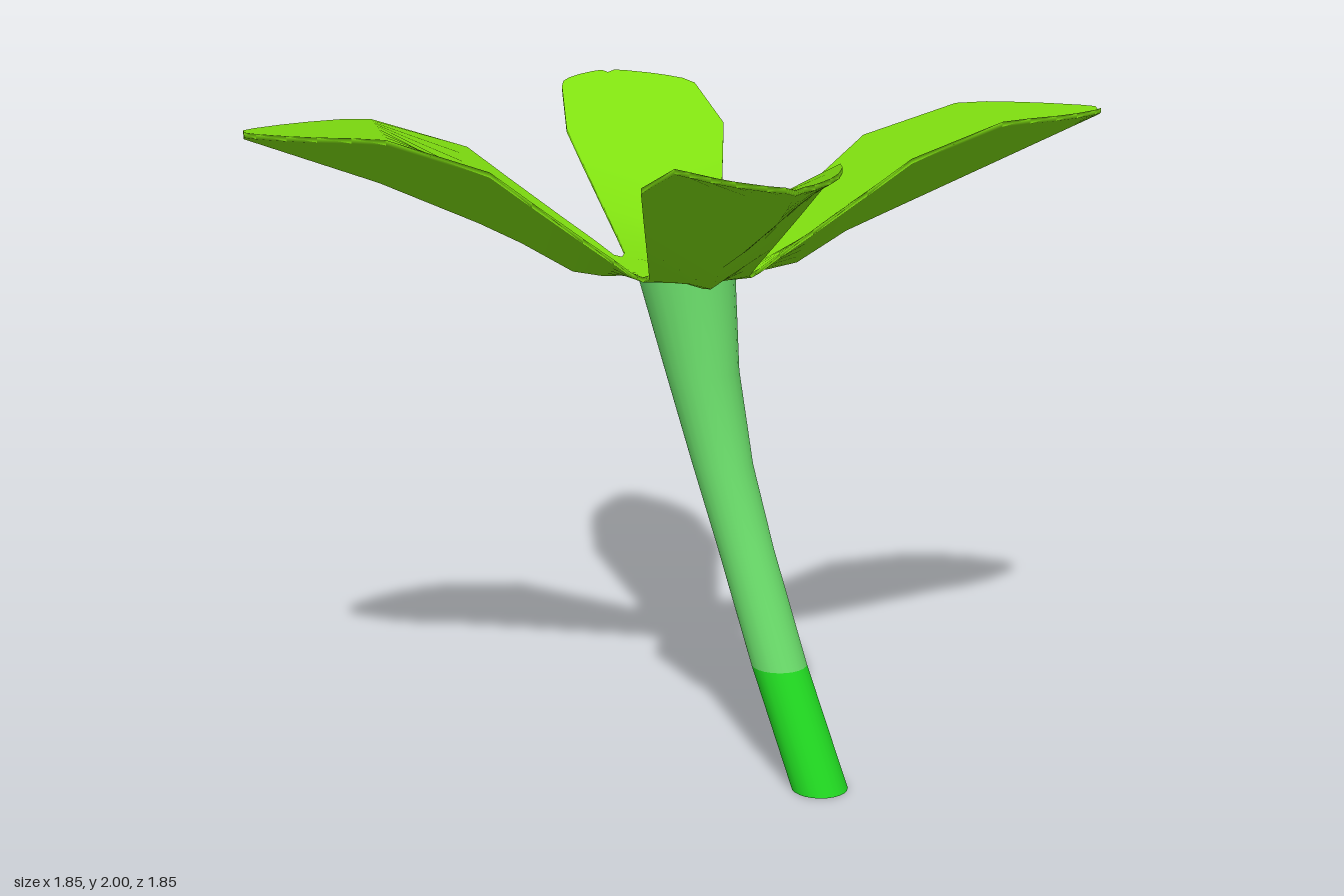
import * as THREE from 'three';

const leafGreen = new THREE.MeshStandardMaterial({ color: 0x80e010 });
leafGreen.name = 'leafGreen';
const paleGreen = new THREE.MeshStandardMaterial({ color: 0x6ce06c });
paleGreen.name = 'paleGreen';
const brightGreen = new THREE.MeshStandardMaterial({ color: 0x22dd22 });
brightGreen.name = 'brightGreen';

// Petal edge from the flower centre to the tip: x, z, height
const EDGE = [
  [0, 0, 1.56], [0, 0.23, 1.565], [0.03, 0.24, 1.575], [0.06, 0.29, 1.62],
  [0.11, 0.373, 1.69], [0.19, 0.507, 1.805], [0.255, 0.615, 1.9],
  [0.48, 0.793, 1.995], [0.56, 0.845, 2], [0.65, 0.886, 2], [0.74, 0.912, 2],
  [0.84, 0.926, 2], [0.89, 0.922, 2],
];

// Height of the underside along the petal's fold
function keelHeight(s) {
  if (s < 0.22) return 1.54;
  if (s < 0.35) return 1.54 + (s - 0.22) / 0.13 * 0.11;
  return 1.65 + (s - 0.35) / 0.57 * 0.335;
}

// Upper skin along the fold: half-filled cup, or a ramp with a level tip
const cupTop = (s, keel, edge) => Math.max(keel + 0.015, (keel + edge) / 2);
const rampTop = (s) => THREE.MathUtils.clamp(1.56 + (s - 0.14) * 0.89, 1.56, 2);

// One petal: upper and lower skins joined by a thin rim.
// shift moves the middle of the fold sideways.
function petalGeometry(top, shift) {
  const half = 4, cols = half * 2 + 1, rows = EDGE.length;
  const pos = [], nor = [], idx = [];
  for (const skin of [1, -1]) {
    for (const [ex, ez, ey] of EDGE) {
      const s = (ex + ez) / 2, d = (ez - ex) / 2;
      const hump = s < 0.55 ? (s - 0.35) / 0.2 : (0.92 - s) / 0.37;
      const o = shift * Math.max(0, hump);
      const keel = keelHeight(s + Math.abs(o));
      const mid = skin > 0 ? top(s, keel, ey) : keel;
      const rim = skin > 0 ? ey : ey - 0.015;
      const tilt = 0.32 * THREE.MathUtils.smoothstep(s, 0.1, 0.35);
      const n = new THREE.Vector3(-tilt, 1, -tilt).normalize().multiplyScalar(skin);
      for (let j = 0; j < cols; j++) {
        const v = (j - half) / half, a = Math.abs(v);
        const side = v * d - o * (1 - a);
        pos.push(s - side, mid + (rim - mid) * a, s + side);
        nor.push(n.x, n.y, n.z);
      }
    }
  }
  const T = (i, j) => i * cols + j;
  const B = (i, j) => rows * cols + i * cols + j;
  const quad = (a, b, c, d) => idx.push(a, b, c, b, d, c);
  for (let i = 0; i < rows - 1; i++) {
    for (let j = 0; j < cols - 1; j++) {
      quad(T(i, j), T(i, j + 1), T(i + 1, j), T(i + 1, j + 1));
      quad(B(i, j), B(i + 1, j), B(i, j + 1), B(i + 1, j + 1));
    }
    if (i > 0) {
      const e = cols - 1;
      quad(T(i, e), B(i, e), T(i + 1, e), B(i + 1, e));
      quad(T(i, 0), T(i + 1, 0), B(i, 0), B(i + 1, 0));
    }
  }
  const k = rows - 1;
  for (let j = 0; j < cols - 1; j++) quad(T(k, j), T(k, j + 1), B(k, j), B(k, j + 1));
  const g = new THREE.BufferGeometry();
  g.setAttribute('position', new THREE.Float32BufferAttribute(pos, 3));
  g.setAttribute('normal', new THREE.Float32BufferAttribute(nor, 3));
  g.setIndex(idx);
  return g;
}

// Open tube through level rings: centre x, height, radius
function stemGeometry(rings) {
  const g = new THREE.CylinderGeometry(1, 1, 1, 24, rings.length - 1, true);
  const p = g.attributes.position;
  for (let i = 0; i < p.count; i++) {
    const [cx, y, r] = rings[rings.length - 1 - Math.floor(i / 25)];
    p.setXYZ(i, cx + p.getX(i) * r, y, p.getZ(i) * r);
  }
  g.computeVertexNormals();
  // Match the normals across the tube's seam
  const n = g.attributes.normal;
  for (let i = 0; i < p.count; i += 25) {
    const v = new THREE.Vector3().fromBufferAttribute(n, i)
      .add(new THREE.Vector3().fromBufferAttribute(n, i + 24)).normalize();
    n.setXYZ(i, v.x, v.y, v.z);
    n.setXYZ(i + 24, v.x, v.y, v.z);
  }
  return g;
}

export function createModel() {
  const group = new THREE.Group();
  group.name = 'flower';
  const add = (name, geometry, material) => {
    const mesh = new THREE.Mesh(geometry, material);
    mesh.name = name;
    group.add(mesh);
    return mesh;
  };

  // Four petals around the centre, each folded a little differently
  const petals = [
    ['frontLeftPetal', cupTop, 0.05], ['backLeftPetal', cupTop, 0],
    ['backRightPetal', cupTop, 0], ['frontRightPetal', rampTop, -0.035],
  ];
  petals.forEach(([name, top, shift], i) => {
    add(name, petalGeometry(top, shift), leafGreen).rotation.y = i * Math.PI / 2;
  });

  // Leaning stem that flares towards the petals
  add('upperStem', stemGeometry([
    [0.337, 0.37, 0.085], [0.215, 0.72, 0.085], [0.132, 0.97, 0.092],
    [0.058, 1.25, 0.112], [0, 1.545, 0.148],
  ]), paleGreen);
  add('lowerStem', stemGeometry([[0.485, 0, 0.086], [0.337, 0.37, 0.085]]), brightGreen);
  const cap = add('stemBase', new THREE.CircleGeometry(0.086, 24), brightGreen);
  cap.rotation.x = Math.PI / 2;
  cap.position.x = 0.485;
  return group;
}
